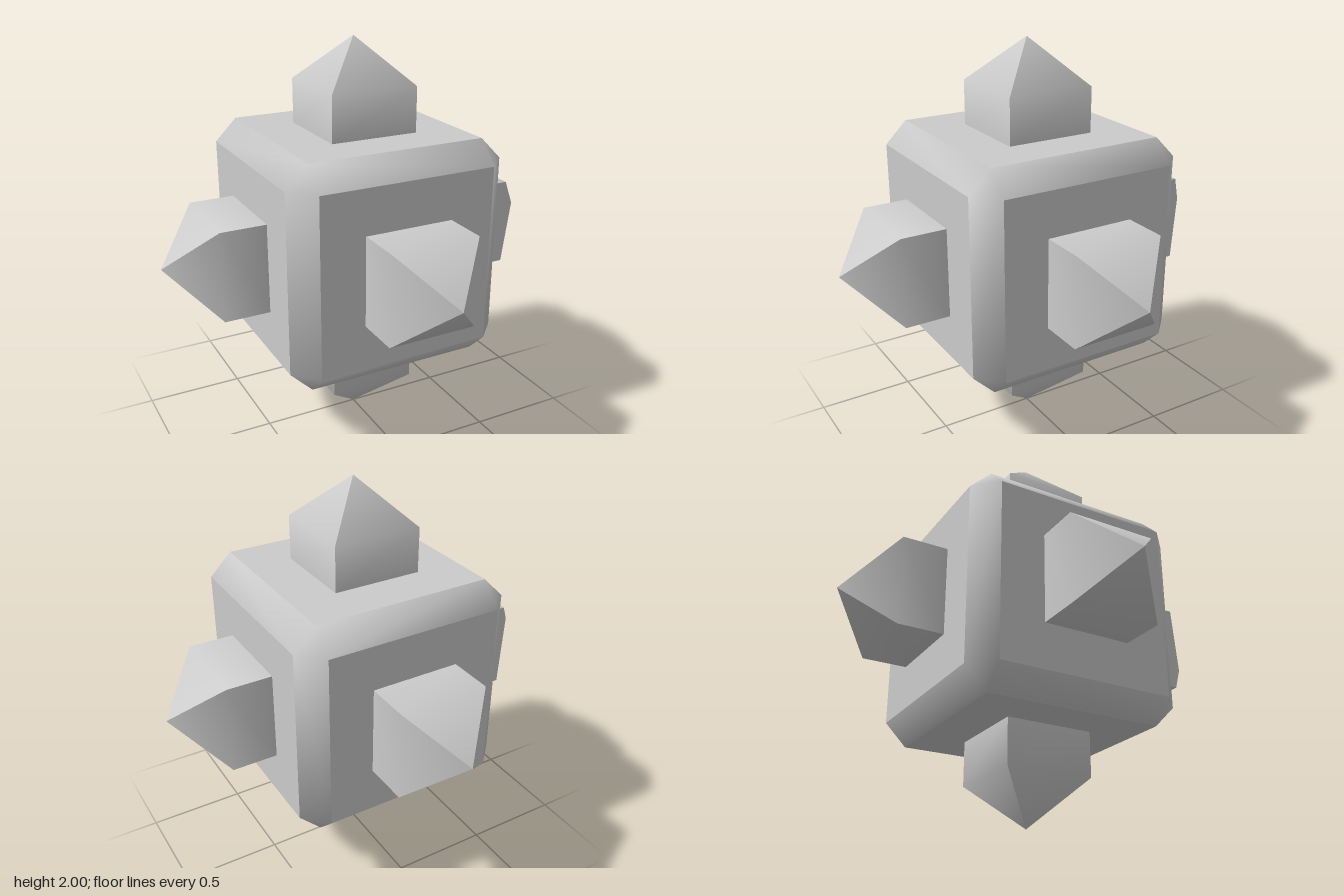
import * as THREE from 'three';
import { mergeVertices } from 'three/addons/utils/BufferGeometryUtils.js';

const OUT = 0.555, IN = 0.445;   // cube half size, half size of its flat faces
const W = 0.222, SHOULDER = 0.778, TIP = 1;   // spike half width and heights
const SIGNS = [-1, 1];

// Adds a triangle, turned so that it faces away from the centre
function addTriangle(list, a, b, c) {
  const [p, q, r] = [a, b, c].map(v => new THREE.Vector3(...v));
  const normal = q.clone().sub(p).cross(r.clone().sub(p));
  const tri = normal.dot(p) < 0 ? [a, c, b] : [a, b, c];
  list.push(...tri.flat());
}

function addQuad(list, a, b, c, d) {
  addTriangle(list, a, b, c);
  addTriangle(list, a, c, d);
}

function toGeometry(list) {
  const geometry = new THREE.BufferGeometry();
  geometry.setAttribute('position', new THREE.Float32BufferAttribute(list, 3));
  return geometry;
}

// Point given by its coordinates along axis i and the two axes after it
function point(i, a, b, c) {
  const p = [0, 0, 0];
  p[i] = a;
  p[(i + 1) % 3] = b;
  p[(i + 2) % 3] = c;
  return p;
}

// Flat cube faces, kept apart from the rounded bevels
function faceGeometry() {
  const list = [];
  for (let i = 0; i < 3; i++) for (const s of SIGNS) {
    addQuad(list, ...[[-1, -1], [1, -1], [1, 1], [-1, 1]].map(([b, c]) => point(i, s * OUT, b * IN, c * IN)));
  }
  const geometry = toGeometry(list);
  geometry.computeVertexNormals();
  return geometry;
}

// Twelve edge strips and eight corner triangles, smoothed together
function bevelGeometry() {
  const list = [];
  for (const s of SIGNS) for (const t of SIGNS) {
    for (let i = 0; i < 3; i++) {
      addQuad(list,
        point(i, -IN, s * OUT, t * IN), point(i, IN, s * OUT, t * IN),
        point(i, IN, s * IN, t * OUT), point(i, -IN, s * IN, t * OUT));
    }
    for (const u of SIGNS) {
      addTriangle(list, [s * OUT, t * IN, u * IN], [s * IN, t * OUT, u * IN], [s * IN, t * IN, u * OUT]);
    }
  }
  const geometry = mergeVertices(toGeometry(list));
  geometry.computeVertexNormals();
  return geometry;
}

// One side of a spike: shaft and tip share a soft shoulder
function spikeSideGeometry() {
  const base = OUT - 0.01;
  const geometry = toGeometry([
    -W, base, W, W, base, W, W, SHOULDER, W, -W, SHOULDER, W, 0, TIP, 0,
  ]);
  geometry.setIndex([0, 1, 2, 0, 2, 3, 3, 2, 4]);
  geometry.computeVertexNormals();
  return geometry;
}

export function createModel() {
  const model = new THREE.Group();
  model.name = 'spikedCube';
  const material = new THREE.MeshStandardMaterial({ color: 0xcccccc });

  const body = new THREE.Group();
  body.name = 'body';
  const faces = new THREE.Mesh(faceGeometry(), material);
  faces.name = 'flatFaces';
  const bevels = new THREE.Mesh(bevelGeometry(), material);
  bevels.name = 'bevels';
  body.add(faces, bevels);
  model.add(body);

  // A spike on each of the six faces
  const side = spikeSideGeometry();
  const spikes = {
    topSpike: [0, 0], bottomSpike: [Math.PI, 0],
    frontSpike: [Math.PI / 2, 0], backSpike: [-Math.PI / 2, 0],
    leftSpike: [0, -Math.PI / 2], rightSpike: [0, Math.PI / 2],
  };
  for (const [name, [rx, rz]] of Object.entries(spikes)) {
    const spike = new THREE.Group();
    spike.name = name;
    for (let k = 0; k < 4; k++) {
      const mesh = new THREE.Mesh(side, material);
      mesh.name = 'spikeSide';
      mesh.rotation.y = k * Math.PI / 2;
      spike.add(mesh);
    }
    spike.rotation.set(rx, 0, rz);
    model.add(spike);
  }

  // Lift so the lowest tip rests on the ground
  for (const part of model.children) part.position.y = 1;
  return model;
}
